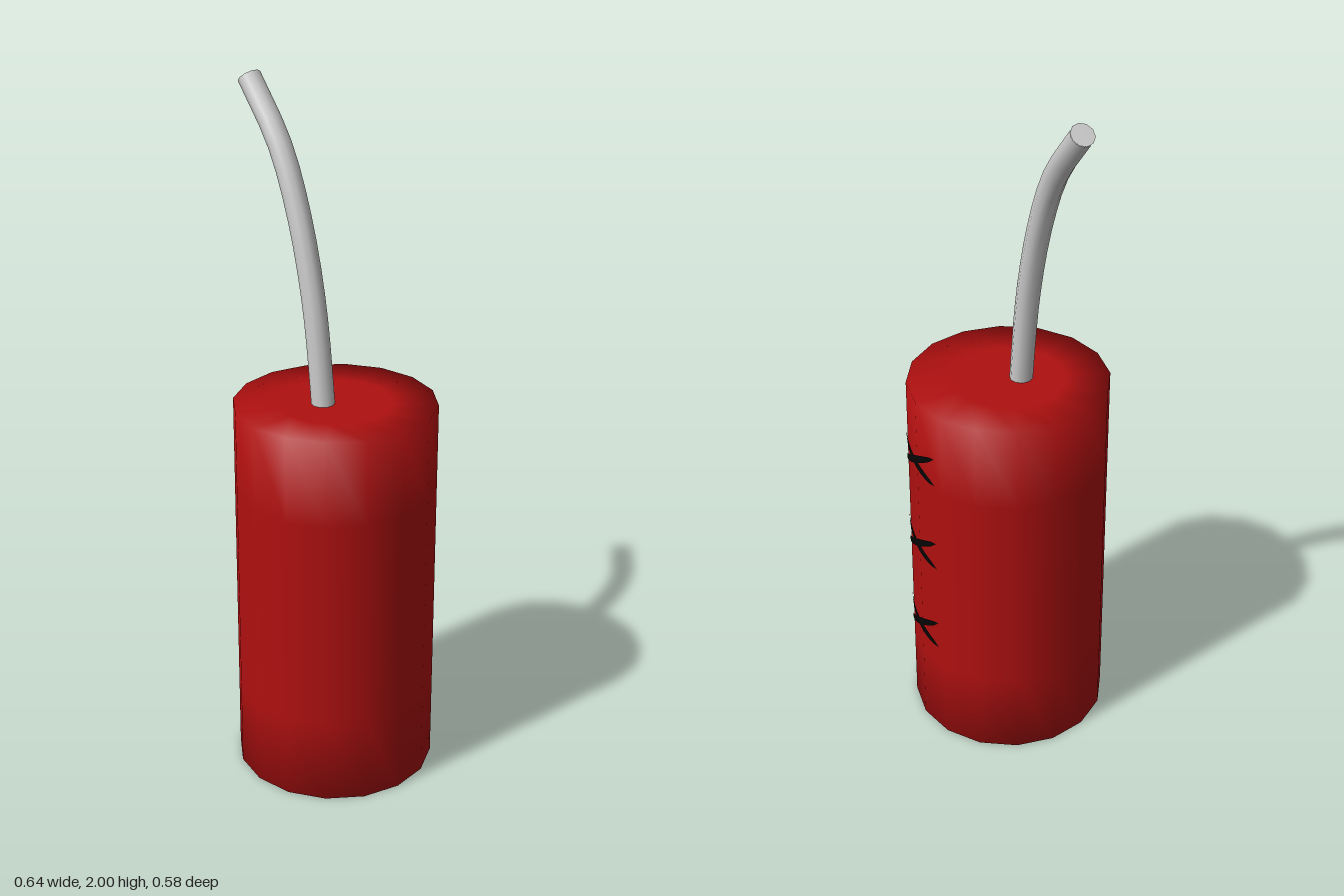
import * as THREE from 'three';

const red = new THREE.MeshStandardMaterial({ color: 0xb01010 });
const grey = new THREE.MeshStandardMaterial({ color: 0xcccccc });
const black = new THREE.MeshStandardMaterial({ color: 0x050505, side: THREE.DoubleSide });

function part(name, geometry, material) {
  const mesh = new THREE.Mesh(geometry, material);
  mesh.name = name;
  return mesh;
}

// Tapered stroke lying against the back of the body; slope sets its diagonal
function strokeGeometry(slope) {
  const g = new THREE.PlaneGeometry(2, 2, 10, 1);
  const p = g.attributes.position;
  for (let i = 0; i < p.count; i++) {
    const t = p.getX(i);
    const halfWidth = 0.013 * Math.sqrt(Math.max(0, 1 - t * t));
    p.setXYZ(i, 0.09 * t, slope * 0.045 * t + p.getY(i) * halfWidth, 0.02 * t * t);
  }
  g.rotateY(0);
  g.computeVertexNormals();
  // Normals face outward, towards the back
  const n = g.attributes.normal;
  for (let i = 0; i < n.count; i++) n.setXYZ(i, -n.getX(i), -n.getY(i), -n.getZ(i));
  g.setIndex([...g.index.array].reverse());
  return g;
}

export function createModel() {
  const group = new THREE.Group();

  // Sixteen-sided body with normals shared across the rims
  const r = 0.287, h = 1.12;
  const profile = [[0, 0], [0.16, 0], [r, 0], [r, 0.25], [r, 0.87], [r, h], [0.16, h], [0, h]]
    .map(([x, y]) => new THREE.Vector2(x, y));
  const body = part('body', new THREE.LatheGeometry(profile, 16), red);
  body.position.set(0.028, 0, 0.002);
  group.add(body);

  // Bent fuse with a closed tip
  const path = new THREE.CatmullRomCurve3([
    [0.018, 1.08], [0.012, 1.14], [-0.025, 1.405], [-0.087, 1.635], [-0.168, 1.815], [-0.3, 1.977],
  ].map(([x, y]) => new THREE.Vector3(x, y, 0.035)));
  const fuse = new THREE.Group();
  fuse.name = 'fuse';
  fuse.add(part('fuseCord', new THREE.TubeGeometry(path, 14, 0.033, 10), grey));
  const tip = part('fuseTip', new THREE.CircleGeometry(0.033, 10), grey);
  tip.position.copy(path.getPoint(1));
  tip.quaternion.setFromUnitVectors(new THREE.Vector3(0, 0, 1), path.getTangent(1));
  fuse.add(tip);
  group.add(fuse);

  // Three crossed marks down the back
  for (const y of [0.35, 0.64, 0.93]) {
    const cross = new THREE.Group();
    cross.name = 'crossMark';
    for (const slope of [-1, 1]) cross.add(part('stroke', strokeGeometry(slope), black));
    cross.position.set(0.04, y, -0.29);
    group.add(cross);
  }
  return group;
}
